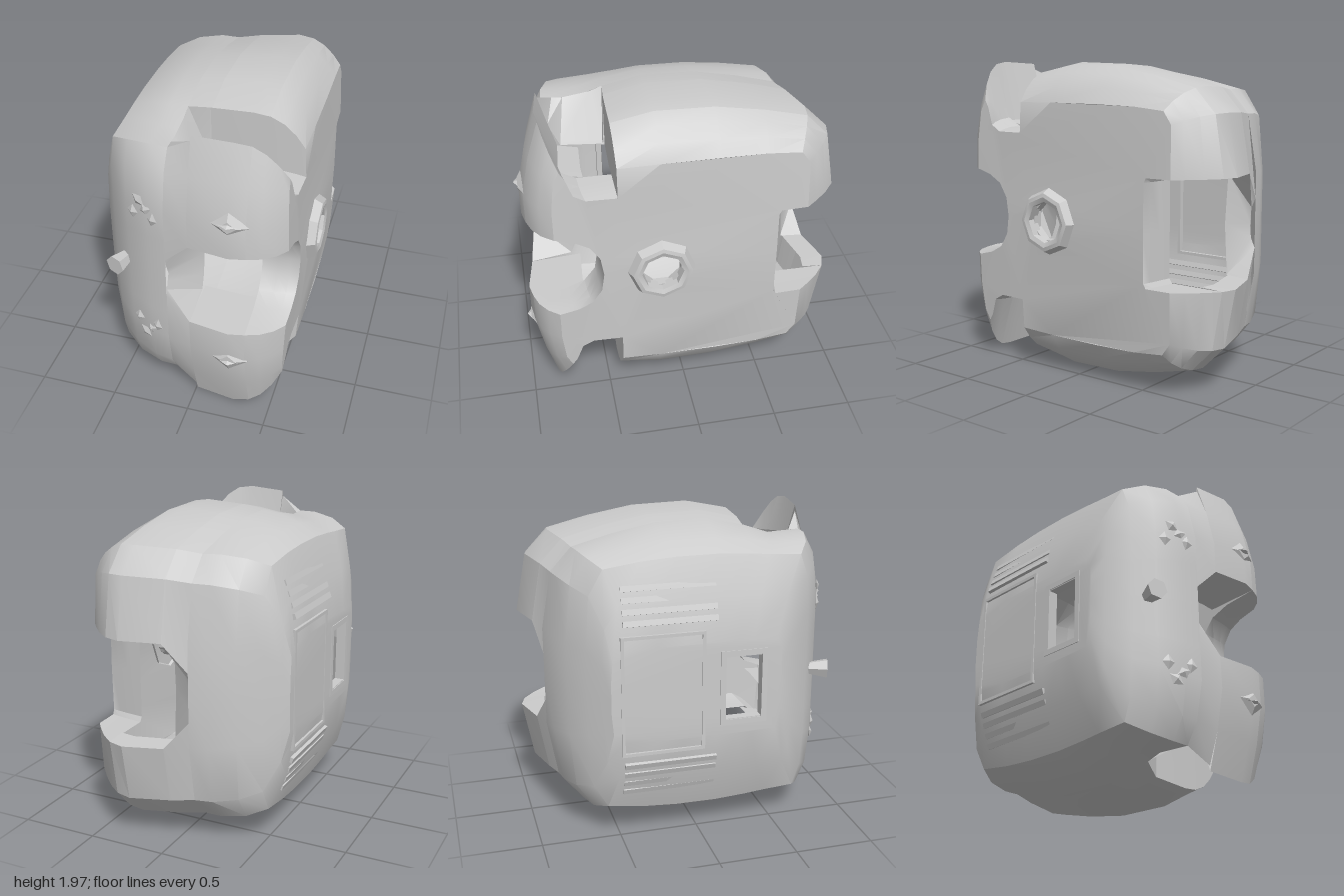
import * as THREE from 'three';
import { toCreasedNormals } from 'three/addons/utils/BufferGeometryUtils.js';

// How far the body reaches at each x: [x, half height, front z, back z]
const REACH = [
  [-0.645, 0.3, 0.5, 0.57], [-0.605, 0.56, 0.58, 0.61], [-0.52, 0.81, 0.71, 0.69], [-0.4, 0.88, 0.81, 0.79],
  [-0.25, 0.93, 0.88, 0.86], [0, 0.97, 0.93, 0.93], [0.26, 0.985, 0.97, 1], [0.36, 0.97, 0.95, 0.97],
  [0.46, 0.92, 0.92, 0.9], [0.54, 0.84, 0.87, 0.82], [0.6, 0.74, 0.8, 0.75],
];

function reachAt(x) {
  let i = 0;
  while (i < REACH.length - 2 && x > REACH[i + 1][0]) i++;
  const a = REACH[i], b = REACH[i + 1], t = (x - a[0]) / (b[0] - a[0]);
  return a.map((v, k) => v + (b[k] - v) * t);
}

// Shrink a [z, d] point to the reach at x; towards +x only the rim moves
function fit([z, d], x) {
  const [, h, f, k] = reachAt(x), p = Math.min(3, Math.max(0, x * 10));
  const squeeze = (v, full, want) => v * (1 - (1 - want / full) * Math.min(1, Math.abs(v / full)) ** p);
  return new THREE.Vector2(z > 0 ? squeeze(z, 0.95, f) : squeeze(z, 1, k), 1 + squeeze(d, 0.985, h));
}

// Barrel curve of the outer wall
const bulge = (x, y, z) => x - Math.max(0, x - 0.36) / 0.24 * (0.05 * (y - 1) ** 2 + 0.03 * z * z);

// Loft a thin skin along x from x0 to x1, optionally blending from a second section.
// cap closes the end at x0 (-1) or x1 (1), with a hole of the given outline; open leaves the section a strip.
function loft(section, x0, x1, { from = section, cap = 0, hole = [], open = false } = {}) {
  const xs = [x0, ...REACH.map((r) => r[0]).filter((x) => x > x0 + 0.005 && x < x1 - 0.005), x1];
  const rings = xs.map((x) => {
    const t = (x - x0) / (x1 - x0);
    return section.map((p, i) => fit([from[i][0] + (p[0] - from[i][0]) * t, from[i][1] + (p[1] - from[i][1]) * t], x));
  });
  const pos = [];
  const tri = (...c) => c.forEach(([v, x]) => pos.push(bulge(x, v.y, v.x), v.y, v.x));
  const walls = (ra, rb, xa, xb) => ra.forEach((a, j) => {
    const n = (j + 1) % ra.length;
    if (open && n === 0) return;
    tri([a, xa], [rb[j], xb], [ra[n], xa]);
    tri([ra[n], xa], [rb[j], xb], [rb[n], xb]);
  });
  for (let i = 0; i < xs.length - 1; i++) walls(rings[i], rings[i + 1], xs[i], xs[i + 1]);
  if (cap) {
    const ring = cap < 0 ? rings[0] : rings[rings.length - 1], x = cap < 0 ? x0 : x1, all = [...ring, ...hole];
    walls(hole, hole, Math.min(x, x - cap * 0.06), Math.max(x, x - cap * 0.06));
    for (const [a, b, c] of THREE.ShapeUtils.triangulateShape([...ring], [[...hole]])) {
      const [p, q] = cap < 0 ? [b, c] : [c, b];
      tri([all[a], x], [all[p], x], [all[q], x]);
    }
  }
  const g = new THREE.BufferGeometry();
  g.setAttribute('position', new THREE.Float32BufferAttribute(pos, 3));
  return toCreasedNormals(g, 0.5);
}

// Mirror a section about mid height
const flip = (pts) => pts.map(([z, d]) => [z, -d]).reverse();
const closed = (half) => [...half, ...flip(half).filter(([, d]) => d !== 0)];

export function createModel() {
  const model = new THREE.Group();
  model.name = 'casing';
  const mat = new THREE.MeshStandardMaterial({ color: 0xcccccc, side: THREE.DoubleSide });
  const add = (name, geo, x = 0, y = 0, z = 0, rx = 0, ry = 0, rz = 0) => {
    const m = new THREE.Mesh(geo, mat);
    m.name = name;
    m.position.set(x, y, z);
    m.rotation.set(rx, ry, rz);
    model.add(m);
    return m;
  };

  // Half sections as [z, distance from mid height], from front over the top to the back
  const face = [[0.95, 0.5], [0.9, 0.75]];
  const faceEdge = [[0.95, 0.29], ...face];
  const top = [[0.42, 0.93], [0.16, 0.985], [-0.2, 0.975], [-0.5, 0.92], [-0.78, 0.85], [-0.93, 0.7]];
  const crown = [...top, [-1, 0.33]];
  const plain = [[0.95, 0], ...faceEdge, [0.82, 0.88], [0.6, 0.87], ...crown, [-1, 0]];
  const boxy = [[0.95, 0], [0.95, 0.29], [0.95, 0.5], [0.94, 0.78], [0.88, 0.96], [0.6, 0.985], [0.42, 0.985], [0.16, 0.985],
    [-0.2, 0.985], [-0.5, 0.98], [-0.86, 0.95], [-0.98, 0.75], [-1, 0.33], [-1, 0]];

  // Closed half of the body, squarer towards its side, with a window in the side
  const windowHole = [[0.14, 0.8], [0.14, 1.2], [0.37, 1.2], [0.37, 0.8]].map((p) => new THREE.Vector2(...p));
  add('closedBody', loft(closed(plain), -0.645, -0.14, { from: closed(boxy), cap: -1, hole: windowHole }));

  // Sloping inner ends of the slots and notches
  const shallow = [[0.9, 0], [0.92, 0.05], [0.94, 0.1], [0.95, 0.14], ...face, [0.82, 0.88], [0.75, 0.877], [0.68, 0.873],
    [0.5, 0.9], ...top, [-1, 0.16], [-0.97, 0.1], [-0.96, 0]];
  const deep = [[0.62, 0], [0.64, 0.15], [0.68, 0.25], ...faceEdge, [0.83, 0.95], [0.77, 0.75], [0.7, 0.6], [0.43, 0.58],
    ...crown, [-0.84, 0.32], [-0.82, 0]];
  add('slotEnds', loft(closed(deep), -0.14, 0.01, { from: closed(shallow) }));

  // Middle skins between the slots, with short lips turned inwards
  const rearSkin = [[0.42, 0.57], ...crown, [-0.85, 0.32]];
  const jawSkin = [[0.62, 0.27], ...faceEdge, [0.83, 0.985], [0.78, 0.8], [0.72, 0.6], [0.59, 0.57]];
  for (const [name, half] of [['rearSkin', rearSkin], ['jaw', jawSkin]]) {
    add(name + 'Upper', loft(half, 0.01, 0.36, { open: true }));
    add(name + 'Lower', loft(flip(half), 0.01, 0.36, { open: true }));
  }

  // Outer wall with the four notches and the round opening
  const notched = [[0.53, 0], [0.55, 0.12], [0.62, 0.21], [0.74, 0.26], ...faceEdge, [0.83, 0.985], [0.78, 0.8], [0.72, 0.62],
    [0.63, 0.57], [0.42, 0.57], ...crown, [-0.62, 0.33], [-0.6, 0.3], [-0.6, 0]];
  const roundHole = Array.from({ length: 8 }, (_, i) => {
    const a = -(i + 0.5) * Math.PI / 4;
    return new THREE.Vector2(0.16 + 0.13 * Math.cos(a), 1 + 0.13 * Math.sin(a));
  });
  add('outerWall', loft(closed(notched), 0.36, 0.6, { cap: 1, hole: roundHole }));

  // Collar round the side opening
  const collar = [[0.13, -0.03], [0.13, 0.045], [0.16, 0.055], [0.185, 0.05], [0.22, -0.02]].map(([r, y]) => new THREE.Vector2(r, y));
  add('sideCollar', toCreasedNormals(new THREE.LatheGeometry(collar, 8), 0.5), 0.597, 1, 0.16, 0, 0, -Math.PI / 2);

  for (const s of [-1, 1]) {
    // Screws on the face, in diamond-shaped rims
    const rim = add('screwRim', toCreasedNormals(new THREE.CylinderGeometry(0.05, 0.12, 0.03, 4), 0.3), 0.26, 1 + s * 0.51, 0.96, Math.PI / 2);
    rim.scale.set(1, 1, 0.8);
    const screw = add('screw', toCreasedNormals(new THREE.OctahedronGeometry(0.05), 0.3), 0.26, 1 + s * 0.52, 0.955);
    screw.scale.set(1.6, 0.45, 0.9);
    // Rough pads on the face
    for (let i = 0; i < 4; i++) {
      const pad = add('facePad', toCreasedNormals(new THREE.OctahedronGeometry(0.05), 0.3),
        -0.35 + 0.045 * i, 1 + s * (0.41 + 0.05 * ((i * 2) % 3)), 0.835 + 0.018 * i, 0, -0.4, i);
      pad.scale.set(0.8, 1, 0.35);
    }
    // Slatted vents on the closed side
    for (let i = 0; i < 4; i++) {
      const d = 0.45 + 0.065 * i;
      const slat = add('ventSlat', new THREE.BoxGeometry(0.035, 0.035, 0.58), -0.62 + 0.32 * (d - 0.45), 1 + s * d, -0.2);
      slat.rotation.z = -s * 0.35;
    }
  }

  // Knob at the closed front corner
  const knobDir = new THREE.Vector3(-0.35, 0, 1).normalize();
  const knob = add('frontKnob', toCreasedNormals(new THREE.CylinderGeometry(0.065, 0.04, 0.12, 6), 0.5), -0.455, 1, 0.82);
  knob.quaternion.setFromUnitVectors(new THREE.Vector3(0, 1, 0), knobDir);

  // Rectangular frames on the closed side
  const frame = (name, w, h, t, z) => {
    const s = new THREE.Shape([[-w, -h], [w, -h], [w, h], [-w, h]].map((p) => new THREE.Vector2(...p)));
    s.holes.push(new THREE.Path([[t - w, t - h], [t - w, h - t], [w - t, h - t], [w - t, t - h]].map((p) => new THREE.Vector2(...p))));
    add(name, new THREE.ExtrudeGeometry(s, { depth: 0.04, bevelEnabled: false }), -0.61, 1, z, 0, -Math.PI / 2);
  };
  frame('sidePanelFrame', 0.26, 0.38, 0.02, -0.25);
  frame('sideWindowFrame', 0.15, 0.24, 0.035, 0.255);

  return model;
}
